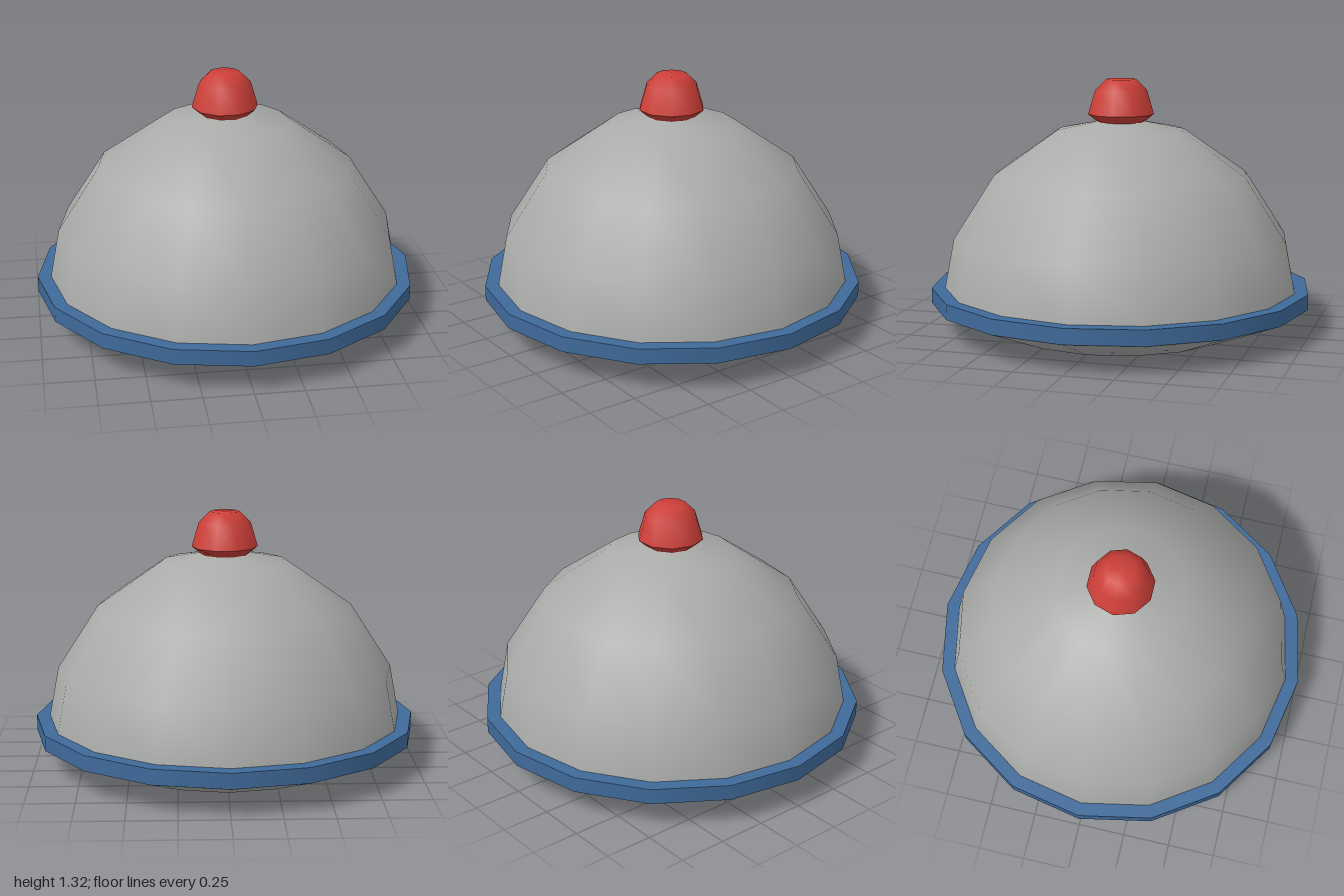
import * as THREE from 'three';

export function createModel() {
  const model = new THREE.Group();
  const material = (name, color) => {
    const m = new THREE.MeshStandardMaterial({ color });
    m.name = name;
    return m;
  };
  const grey = material('shell grey', 0xa9aba9);
  const blue = material('rim blue', 0x3f6a9a);
  const red = material('knob red', 0xcc3f38);

  // Turned surface; each profile runs so that its faces point outward.
  const turned = (name, profile, sides, mat, parent = model) => {
    const points = profile.map(([r, y]) => new THREE.Vector2(r, y));
    const geometry = new THREE.LatheGeometry(points, sides, Math.PI / 2);
    const mesh = new THREE.Mesh(geometry, mat);
    mesh.name = name;
    parent.add(mesh);
  };
  const part = (name) => {
    const g = new THREE.Group();
    g.name = name;
    model.add(g);
    return g;
  };

  // Dome and shallow base
  turned('dome', [[0.93, 0.23], [0.88, 0.49], [0.665, 0.823], [0.332, 1.055], [0, 1.12]], 16, grey);
  turned('base', [[0, 0], [0.62, 0], [0.935, 0.125]], 16, grey);

  // Rim: separate rings keep its edges sharp
  const rim = part('rim');
  turned('rimUnderside', [[0.935, 0.125], [1, 0.15]], 16, grey, rim);
  turned('rimSide', [[1, 0.15], [1, 0.23]], 16, blue, rim);
  turned('rimTop', [[1, 0.23], [0.92, 0.23]], 16, blue, rim);

  // Knob on top
  const knob = part('knob');
  turned('knobUnderside', [[0, 1.095], [0.125, 1.095], [0.172, 1.135]], 10, red, knob);
  turned('knobCap', [[0.172, 1.135], [0.135, 1.26], [0.078, 1.317], [0, 1.317]], 10, red, knob);

  return model;
}
